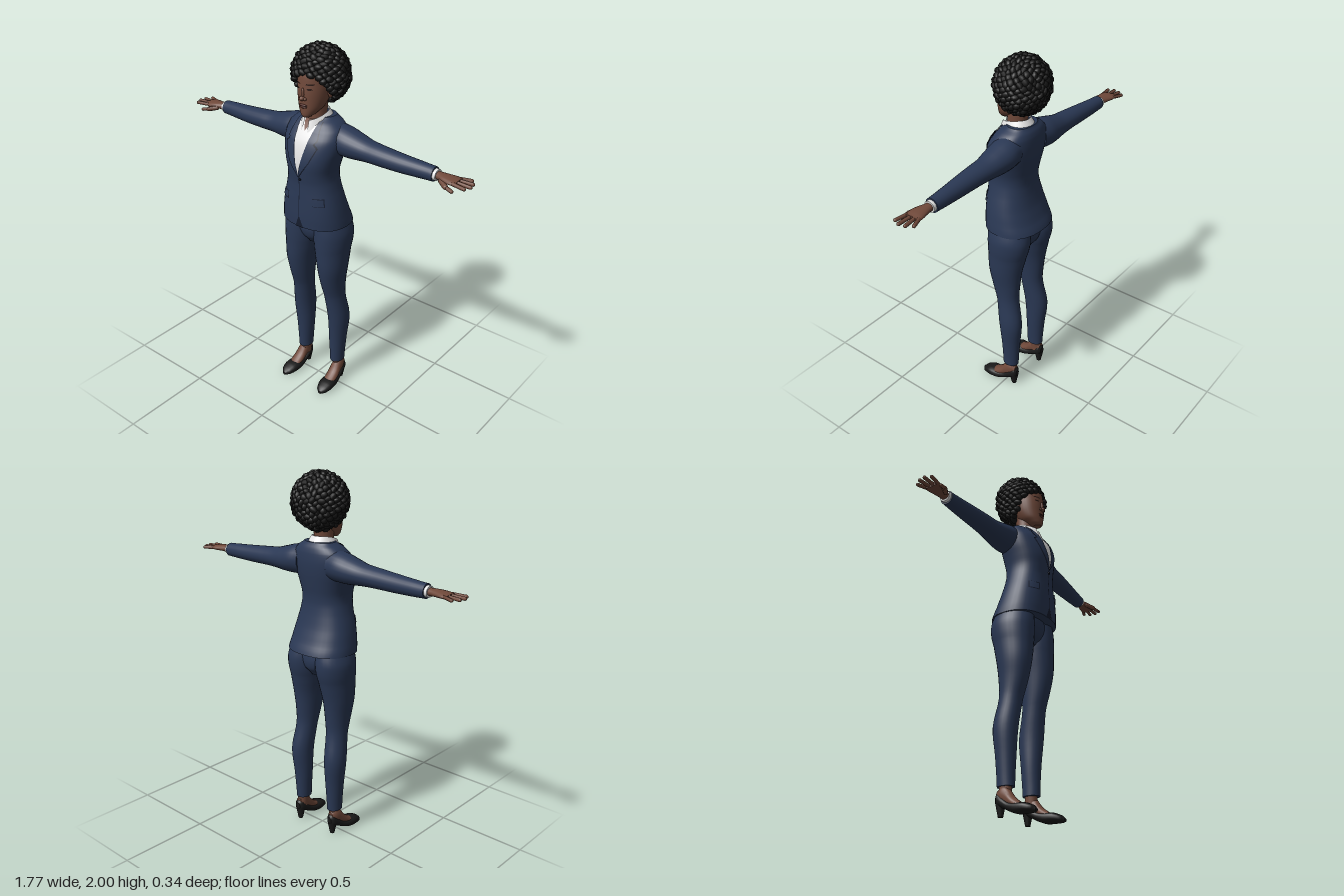
import * as THREE from 'three';
import { mergeGeometries } from 'three/addons/utils/BufferGeometryUtils.js';

const mat = (name, color) => {
  const m = new THREE.MeshStandardMaterial({ color, side: THREE.DoubleSide });
  m.name = name;
  return m;
};

// Resample cross-section rows with a smooth curve through every column
function smooth(rows, k = 4) {
  const out = [];
  for (let i = 0; i < rows.length - 1; i++) {
    const r = [rows[Math.max(i - 1, 0)], rows[i], rows[i + 1], rows[Math.min(i + 2, rows.length - 1)]];
    for (let s = 0; s < k; s++) {
      const t = s / k;
      out.push(rows[i].map((_, c) => {
        const [a, b, d, e] = r.map(q => q[c]);
        if (c === 0) return b + (d - b) * t;
        return 0.5 * (2 * b + (d - a) * t + (2 * a - 5 * b + 4 * d - e) * t * t + (3 * b - a - 3 * d + e) * t ** 3);
      }));
    }
  }
  out.push(rows[rows.length - 1]);
  return out;
}

// Loft rounded sections [t, centreA, centreB, radiusA, radiusB] along an axis, with flat caps
function loft(rows, axis, n = 28, e = 2) {
  const pos = [], idx = [];
  const place = (t, a, b) => axis === 'y' ? [a, t, b] : axis === 'x' ? [t, a, b] : [a, b, t];
  const pw = v => Math.sign(v) * Math.abs(v) ** (2 / e);
  const ring = r => {
    const start = pos.length / 3;
    for (let i = 0; i < n; i++) {
      const q = i / n * Math.PI * 2, c = pw(Math.cos(q)), s = pw(Math.sin(q));
      pos.push(...(axis === 'y' ? place(r[0], r[1] + r[3] * s, r[2] + r[4] * c)
        : place(r[0], r[1] + r[3] * c, r[2] + r[4] * s)));
    }
    return start;
  };
  rows.forEach((r, j) => {
    const b = ring(r), a = b - n;
    if (j) for (let i = 0; i < n; i++) {
      const k = (i + 1) % n;
      idx.push(a + i, a + k, b + k, a + i, b + k, b + i);
    }
  });
  [rows[0], rows[rows.length - 1]].forEach((r, end) => {
    const s = ring(r), c = pos.length / 3;
    pos.push(...place(r[0], r[1], r[2]));
    for (let i = 0; i < n; i++) {
      const k = (i + 1) % n;
      idx.push(...(end ? [c, s + i, s + k] : [c, s + k, s + i]));
    }
  });
  return build(pos, idx);
}

function build(pos, idx) {
  const g = new THREE.BufferGeometry();
  g.setAttribute('position', new THREE.Float32BufferAttribute(pos, 3));
  g.setIndex(idx);
  g.computeVertexNormals();
  return g;
}

// Sheet from a rule f(u, v) -> [x, y, z]
function sheet(f, nu, nv) {
  const pos = [], idx = [];
  for (let j = 0; j <= nv; j++) for (let i = 0; i <= nu; i++) pos.push(...f(i / nu, j / nv));
  for (let j = 0; j < nv; j++) for (let i = 0; i < nu; i++) {
    const a = j * (nu + 1) + i, b = a + nu + 1;
    idx.push(a, a + 1, b + 1, a, b + 1, b);
  }
  return build(pos, idx);
}

// Thin plate following the front of a lofted body; edges = [y, xInner, xOuter]
function plate(rows, e, edges, off, nv = 12) {
  const mix = (list, y) => {
    let i = 0;
    while (i < list.length - 2 && list[i + 1][0] < y) i++;
    const t = (y - list[i][0]) / (list[i + 1][0] - list[i][0]);
    return list[i].map((v, c) => v + (list[i + 1][c] - v) * t);
  };
  const y0 = edges[0][0], y1 = edges[edges.length - 1][0];
  return sheet((u, v) => {
    const y = y0 + (y1 - y0) * v, ed = mix(edges, y), r = mix(rows, y);
    const x = ed[1] + (ed[2] - ed[1]) * u;
    const k = Math.max(0, 1 - Math.abs(x / r[3]) ** e) ** (1 / e);
    return [x, y, r[2] + r[4] * k + off];
  }, 8, nv);
}

function mirror(g) {
  const m = g.clone().scale(-1, 1, 1), ix = m.index.array;
  for (let i = 0; i < ix.length; i += 3) [ix[i], ix[i + 1]] = [ix[i + 1], ix[i]];
  m.computeVertexNormals();
  return m;
}

const ball = (x, y, z, a, b, c) => new THREE.SphereGeometry(1, 14, 10).scale(a, b, c).translate(x, y, z);

// Capsule from p to q, without uv so that it merges with lofts
function finger(p, q, r) {
  const a = new THREE.Vector3(...p), d = new THREE.Vector3(...q).sub(a), len = d.length();
  const g = new THREE.CapsuleGeometry(r, len, 4, 8).deleteAttribute('uv');
  g.applyQuaternion(new THREE.Quaternion().setFromUnitVectors(new THREE.Vector3(0, 1, 0), d.clone().normalize()));
  return g.translate(...a.addScaledVector(d, 0.5).toArray());
}

export function createModel() {
  const root = new THREE.Group();
  const suit = mat('navy suit', 0x2a3854), seam = mat('dark navy seam', 0x161d2e);
  const shirt = mat('white shirt', 0xe4e4e4), skin = mat('skin', 0x70493a);
  const black = mat('black shoe', 0x191919), hairMat = mat('black hair', 0x141414);
  const lip = mat('lips', 0x5a3029), dark = mat('dark brown', 0x2a1a15);
  const add = (name, g, m) => {
    const mesh = new THREE.Mesh(g, m);
    mesh.name = name;
    root.add(mesh);
  };
  const pair = (name, g, m) => { add(name + 'Left', g, m); add(name + 'Right', mirror(g), m); };

  // Jacket body: height, half width, front z, back z
  const body = smooth([[1.06, .19, .158, -.153], [1.12, .182, .16, -.128], [1.2, .166, .158, -.1],
    [1.3, .14, .154, -.08], [1.36, .134, .16, -.08], [1.42, .147, .164, -.09], [1.48, .163, .154, -.1],
    [1.54, .17, .134, -.105], [1.59, .16, .1, -.102], [1.62, .128, .075, -.094], [1.645, .088, .045, -.08]]
    .map(([y, w, f, b]) => [y, 0, (f + b) / 2, w, (f - b) / 2]));
  const E = 2.3;
  add('jacketBody', loft(body, 'y', 40, E), suit);
  add('shirtFront', plate(body, E, [[1.36, -.002, .002], [1.56, -.048, .048], [1.635, -.06, .06]], .004), shirt);
  pair('lapelEdge', plate(body, E, [[1.35, -.001, .006], [1.44, .018, .066], [1.52, .036, .102], [1.535, .039, .078],
    [1.55, .042, .092], [1.63, .055, .075]], .005, 40), seam);
  pair('lapel', plate(body, E, [[1.355, 0, .003], [1.44, .02, .062], [1.517, .038, .096], [1.535, .041, .072],
    [1.553, .044, .087], [1.63, .057, .072]], .009, 40), suit);
  add('frontClosure', plate(body, E, [[1.12, -.002, .002], [1.36, -.002, .002]], .003), seam);
  add('hemNotch', plate(body, E, [[1.06, -.026, .026], [1.125, -.001, .001]], .003), seam);
  pair('pocketEdge', plate(body, E, [[1.198, .078, .136], [1.242, .076, .13]], .003), seam);
  pair('pocketFlap', plate(body, E, [[1.202, .081, .133], [1.24, .079, .128]], .006), suit);
  add('button', new THREE.CylinderGeometry(.007, .007, .006, 12).rotateX(Math.PI / 2).translate(.006, 1.335, .16), seam);

  // Sleeves and cuffs
  pair('sleeve', loft(smooth([[.1, 1.535, -.02, .08, .075], [.16, 1.53, -.02, .078, .082], [.22, 1.522, -.02, .07, .076],
    [.3, 1.514, -.02, .056, .063], [.38, 1.51, -.018, .051, .057], [.5, 1.505, -.02, .046, .049],
    [.6, 1.503, -.024, .041, .042], [.68, 1.502, -.026, .037, .037]]), 'x', 24), suit);
  pair('cuff', loft([[.66, 1.502, -.026, .03, .032], [.696, 1.502, -.026, .028, .031]], 'x', 20), shirt);

  // Hands with fingers
  const hand = [loft(smooth([[.67, 1.502, -.026, .019, .025], [.7, 1.502, -.025, .019, .025], [.74, 1.502, -.021, .018, .037],
    [.78, 1.501, -.022, .016, .045], [.81, 1.5, -.024, .011, .043]]), 'x', 18)];
  [[.012, .862, .022], [-.013, .876, -.011], [-.037, .87, -.045], [-.057, .847, -.076]].forEach(([z, x, tip]) =>
    hand.push(finger([.795, 1.501, z], [x, 1.499, tip], .0095)));
  hand.push(finger([.73, 1.494, .005], [.77, 1.484, .03], .013), finger([.77, 1.484, .03], [.808, 1.476, .038], .0095));
  pair('hand', mergeGeometries(hand), skin);

  // Trousers
  pair('trouserLeg', loft(smooth([[.145, .117, -.028, .038, .047], [.3, .118, -.03, .048, .055], [.45, .122, -.03, .057, .068],
    [.6, .111, -.006, .056, .065], [.7, .108, .007, .064, .082], [.8, .108, .011, .077, .098], [.9, .102, .003, .089, .112],
    [.96, .1, -.004, .097, .121], [1.02, .098, -.006, .097, .122], [1.1, .088, 0, .085, .11]]), 'y', 28), suit);
  add('trouserSeat', loft(smooth([[.93, 0, -.005, .04, .07], [.97, 0, -.005, .1, .1], [1.02, 0, -.003, .13, .112],
    [1.1, 0, 0, .13, .105]]), 'y', 28), suit);

  // Feet and heeled shoes, built straight then turned out slightly
  const foot = g => g.rotateY(.06).translate(.126, 0, 0);
  const side = rows => smooth(rows.map(([z, w, b, t]) => [z, 0, (b + t) / 2, w, (t - b) / 2]), 3);
  pair('shoe', foot(loft(side([[-.078, .014, .062, .105], [-.065, .027, .05, .118], [-.035, .033, .04, .095],
    [.005, .037, .02, .066], [.05, .043, .003, .056], [.1, .043, 0, .052], [.14, .03, 0, .036], [.158, .01, .002, .02]]), 'z', 20, 2.4)), black);
  pair('shoeHeel', foot(new THREE.CylinderGeometry(.027, .013, .07, 14).translate(0, .035, -.054)), black);
  pair('foot', foot(loft(side([[-.068, .02, .07, .13], [-.04, .028, .06, .15], [-.01, .03, .04, .142],
    [.025, .034, .03, .095], [.06, .034, .02, .066], [.09, .03, .015, .05]]), 'z', 18)), skin);
  pair('ankle', loft(smooth([[.08, .122, -.035, .028, .036], [.13, .119, -.03, .027, .034], [.2, .118, -.028, .03, .036]]), 'y', 18), skin);

  // Neck, collar and open throat
  add('neck', loft(smooth([[1.58, 0, .015, .06, .06], [1.64, 0, .012, .051, .053], [1.74, 0, .01, .052, .058]]), 'y', 24), skin);
  add('throat', plate(body, E, [[1.585, -.001, .001], [1.64, -.032, .032]], .008), skin);
  add('shirtCollar', sheet((u, v) => {
    const t = .22 + u * (Math.PI * 2 - .44), f = ((1 + Math.cos(t)) / 2) ** 2;
    const r = .08 - .022 * v;
    return [Math.sin(t) * r, (1.638 - .06 * f) * (1 - v) + (1.674 - .038 * f) * v, .01 + Math.cos(t) * (r + .018 * f + .008)];
  }, 36, 4), shirt);

  // Head: height, depth centre, half width, half depth
  const head = smooth([[1.655, .09, .02, .024], [1.668, .078, .036, .043], [1.7, .053, .06, .069], [1.74, .037, .074, .085],
    [1.78, .03, .081, .092], [1.82, .025, .084, .094], [1.87, .018, .083, .096], [1.92, .008, .07, .084], [1.95, 0, .045, .05]]
    .map(([y, z, w, d]) => [y, 0, z, w, d]));
  add('head', loft(head, 'y', 32), skin);
  add('nose', mergeGeometries([ball(0, 1.757, .127, .013, .012, .016), ball(0, 1.778, .122, .009, .03, .01),
    ball(.013, 1.754, .122, .009, .008, .009), ball(-.013, 1.754, .122, .009, .008, .009)]), skin);
  add('lips', mergeGeometries([ball(0, 1.72, .12, .025, .006, .008), ball(0, 1.711, .119, .022, .007, .009)]), lip);
  pair('eye', plate(head, 2, [[1.799, .03, .038], [1.803, .02, .05], [1.808, .027, .043]], .002), dark);
  pair('eyebrow', plate(head, 2, [[1.824, .016, .05], [1.831, .02, .058]], .003), dark);
  pair('ear', ball(.085, 1.775, .012, .01, .028, .017), skin);

  // Hair: a dark core covered in small curls
  let seed = 7;
  const rnd = () => (seed = (seed * 16807) % 2147483647) / 2147483647;
  const curls = [new THREE.SphereGeometry(1, 24, 16).scale(.135, .132, .108).translate(0, 1.85, -.042)];
  const N = 330, out = new THREE.Vector3(0, 0, 1);
  for (let i = 0; i < N; i++) {
    const h = 1 - 2 * (i + .5) / N, w = Math.sqrt(1 - h * h), a = i * 2.39996;
    const d = new THREE.Vector3(Math.sin(a) * w, h, Math.cos(a) * w);
    const k = .97 + rnd() * .06;
    const p = new THREE.Vector3(d.x * .139 * k, 1.845 + d.y * .137 * k, -.018 + d.z * .128 * k);
    // Leave the face open
    if (p.z > -.02 && p.y < 1.72 + (p.z + .01) * 1.25) continue;
    const g = new THREE.SphereGeometry(1, 8, 6).scale(.021 + rnd() * .005, .015 + rnd() * .004, .019);
    g.rotateZ((rnd() - .5) * 1.2);
    g.applyQuaternion(new THREE.Quaternion().setFromUnitVectors(out, d));
    curls.push(g.translate(p.x, p.y, p.z));
  }
  add('hair', mergeGeometries(curls), hairMat);
  return root;
}
